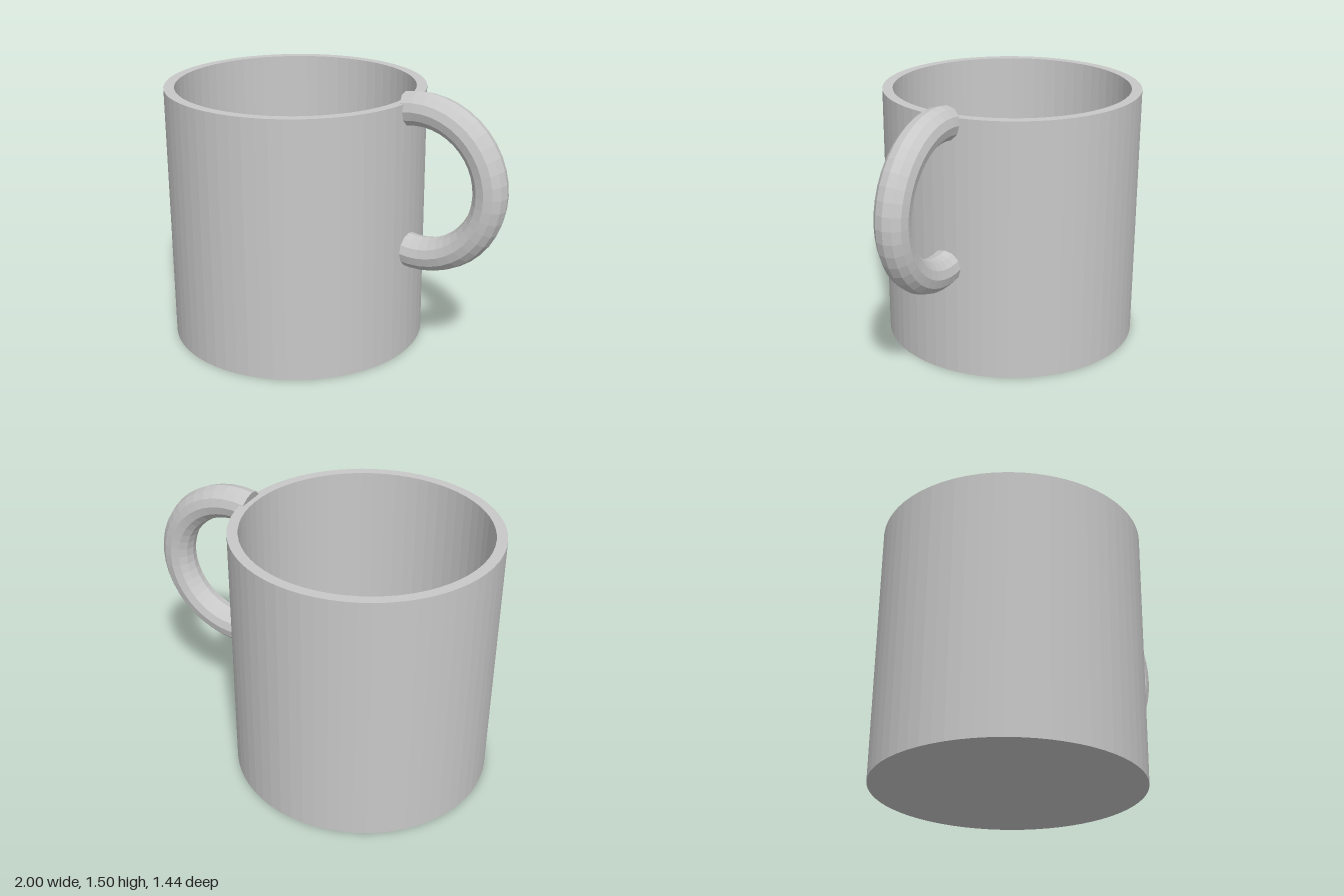
import * as THREE from 'three';

const CUP_X = -0.28, CUP_R = 0.72, INNER_R = 0.663, HEIGHT = 1.445, FLOOR = 0.057;
const RING_R = 0.4, TUBE_R = 0.0925, SIDES = 12, ARC = THREE.MathUtils.degToRad(204);

export function createModel() {
  const model = new THREE.Group();
  model.name = 'mug';

  const grey = new THREE.MeshStandardMaterial({ color: 0xc8c8c8, flatShading: true });
  grey.name = 'plain grey';

  const add = (parent, geometry, name) => {
    const mesh = new THREE.Mesh(geometry, grey);
    mesh.name = name;
    parent.add(mesh);
    return mesh;
  };

  // Hollow cup: underside, outer wall, flat rim, inner wall, inner floor
  const profile = [
    [0, 0], [CUP_R, 0], [CUP_R, HEIGHT], [INNER_R, HEIGHT], [INNER_R, FLOOR], [0, FLOOR],
  ].map(([r, y]) => new THREE.Vector2(r, y));
  add(model, new THREE.LatheGeometry(profile, 64), 'cup').position.x = CUP_X;

  // Handle: a little over half a ring, its ends sunk into the wall
  const handle = new THREE.Group();
  handle.name = 'handle';
  handle.position.set(0.505, 1.012, 0);
  handle.rotation.z = -ARC / 2;
  model.add(handle);
  add(handle, new THREE.TorusGeometry(RING_R, TUBE_R, SIDES, 24, ARC), 'handleRing');

  // Flat caps closing both ends of the handle
  [[0, 1, 'lowerHandleEnd'], [ARC, -1, 'upperHandleEnd']].forEach(([angle, turn, name]) => {
    const cap = new THREE.CircleGeometry(TUBE_R, SIDES);
    cap.rotateX(turn * Math.PI / 2).translate(RING_R, 0, 0).rotateZ(angle);
    add(handle, cap, name);
  });

  return model;
}
